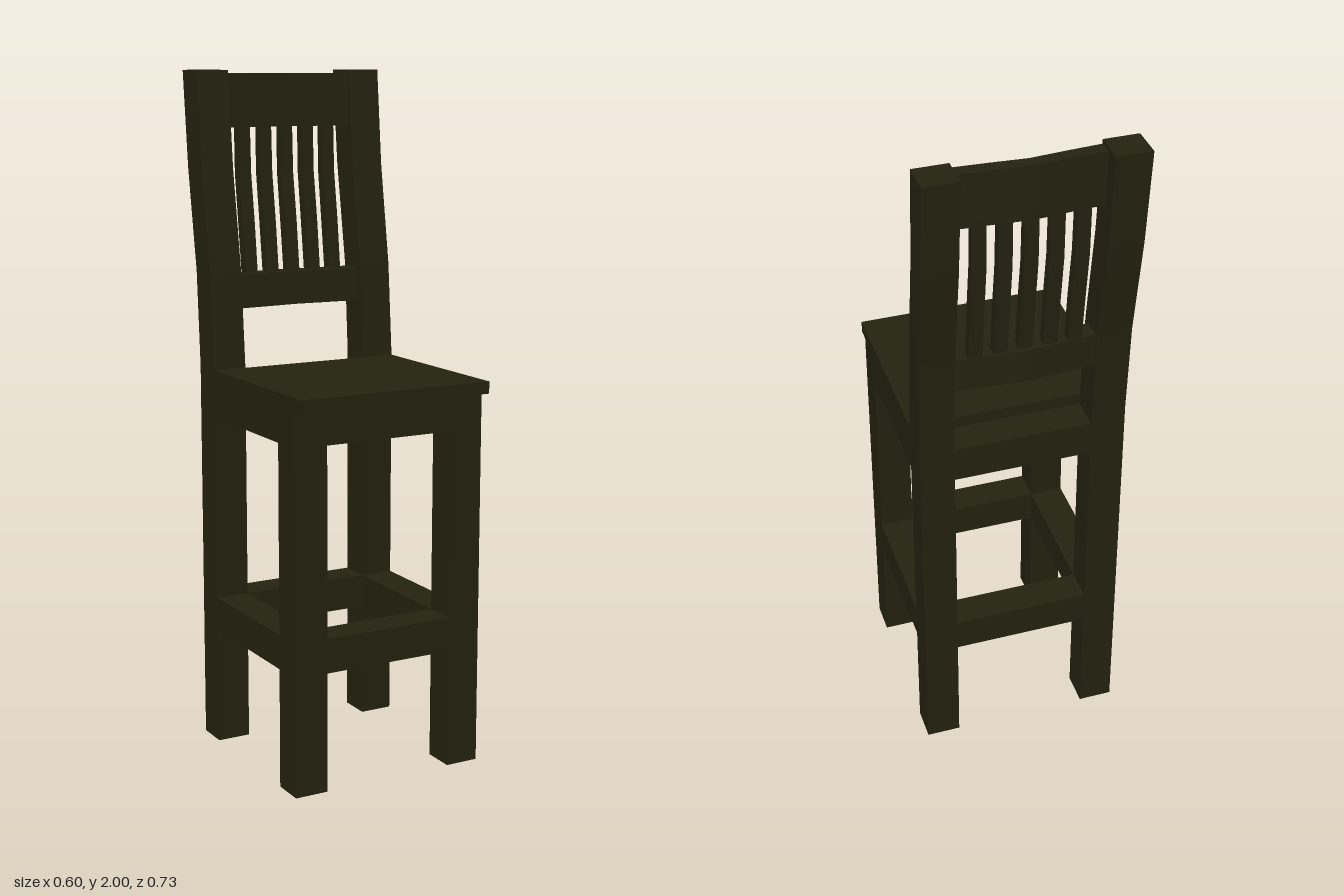
import * as THREE from 'three';

export function createModel() {
  const model = new THREE.Group();
  model.name = 'chair';
  const wood = new THREE.MeshStandardMaterial({ color: 0x24220f, flatShading: true });
  wood.name = 'dark wood';

  const add = (name, geometry) => {
    const mesh = new THREE.Mesh(geometry, wood);
    mesh.name = name;
    model.add(mesh);
  };

  // Box given by its limits on each axis
  const box = (name, x0, x1, y0, y1, z0, z1) => {
    const g = new THREE.BoxGeometry(x1 - x0, y1 - y0, z1 - z0);
    g.translate((x0 + x1) / 2, (y0 + y1) / 2, (z0 + z1) / 2);
    add(name, g);
  };

  const extrude = (points, depth) => new THREE.ExtrudeGeometry(
    new THREE.Shape(points.map(([a, b]) => new THREE.Vector2(a, b))),
    { depth, bevelEnabled: false });

  // Side profile of [z, y] points, given a width across x
  const sideProfile = (name, points, x, width) => {
    const g = extrude(points, width);
    g.rotateY(-Math.PI / 2);
    g.translate(x + width / 2, 0, 0);
    add(name, g);
  };

  // Rail between the posts, bowed backwards in plan
  const bowedRail = (name, y0, y1, front, back) => {
    const xs = [-0.2, -0.1, 0, 0.1, 0.2];
    const bow = (x) => 0.014 * (1 - Math.abs(x) / 0.2) ** 1.2;
    const points = [
      ...xs.map((x) => [x, -front + bow(x)]),
      ...xs.slice().reverse().map((x) => [x, -back + bow(x)]),
    ];
    const g = extrude(points, y1 - y0);
    g.rotateX(-Math.PI / 2);
    g.translate(0, y0, 0);
    add(name, g);
  };

  // Legs, bent back posts and side stretchers
  const post = [
    [-0.27, 0], [-0.173, 0], [-0.173, 1.14], [-0.195, 1.42], [-0.242, 1.72], [-0.268, 2],
    [-0.365, 2], [-0.337, 1.72], [-0.288, 1.42], [-0.27, 1.14],
  ];
  for (const [label, s] of [['left', 1], ['right', -1]]) {
    const x0 = s > 0 ? 0.2 : -0.3;
    const x1 = x0 + 0.1;
    sideProfile(`${label}BackPost`, post, s * 0.25, 0.1);
    box(`${label}FrontLeg`, x0, x1, 0, 1.105, 0.23, 0.327);
    box(`${label}Stretcher`, x0, x1, 0.35, 0.45, -0.173, 0.23);
    box(`${label}Apron`, x0, x1, 1, 1.105, -0.173, 0.23);
  }

  // Front and back stretchers, seat base and seat
  box('frontStretcher', -0.2, 0.2, 0.35, 0.45, 0.23, 0.327);
  box('backStretcher', -0.2, 0.2, 0.35, 0.45, -0.27, -0.173);
  box('seatBase', -0.2, 0.2, 1, 1.105, -0.27, 0.327);
  box('seat', -0.3, 0.3, 1.105, 1.14, -0.173, 0.365);

  // Backrest rails
  bowedRail('lowerRail', 1.31, 1.41, -0.216, -0.276);
  bowedRail('crestRail', 1.835, 1.99, -0.273, -0.312);

  // Curved slats
  const slat = [
    [-0.245, 1.4], [-0.262, 1.55], [-0.284, 1.7], [-0.29, 1.85],
    [-0.317, 1.85], [-0.314, 1.7], [-0.294, 1.55], [-0.275, 1.4],
  ];
  for (let i = -2; i <= 2; i++) sideProfile(`slat${i + 3}`, slat, i * 0.07, 0.039);

  return model;
}
